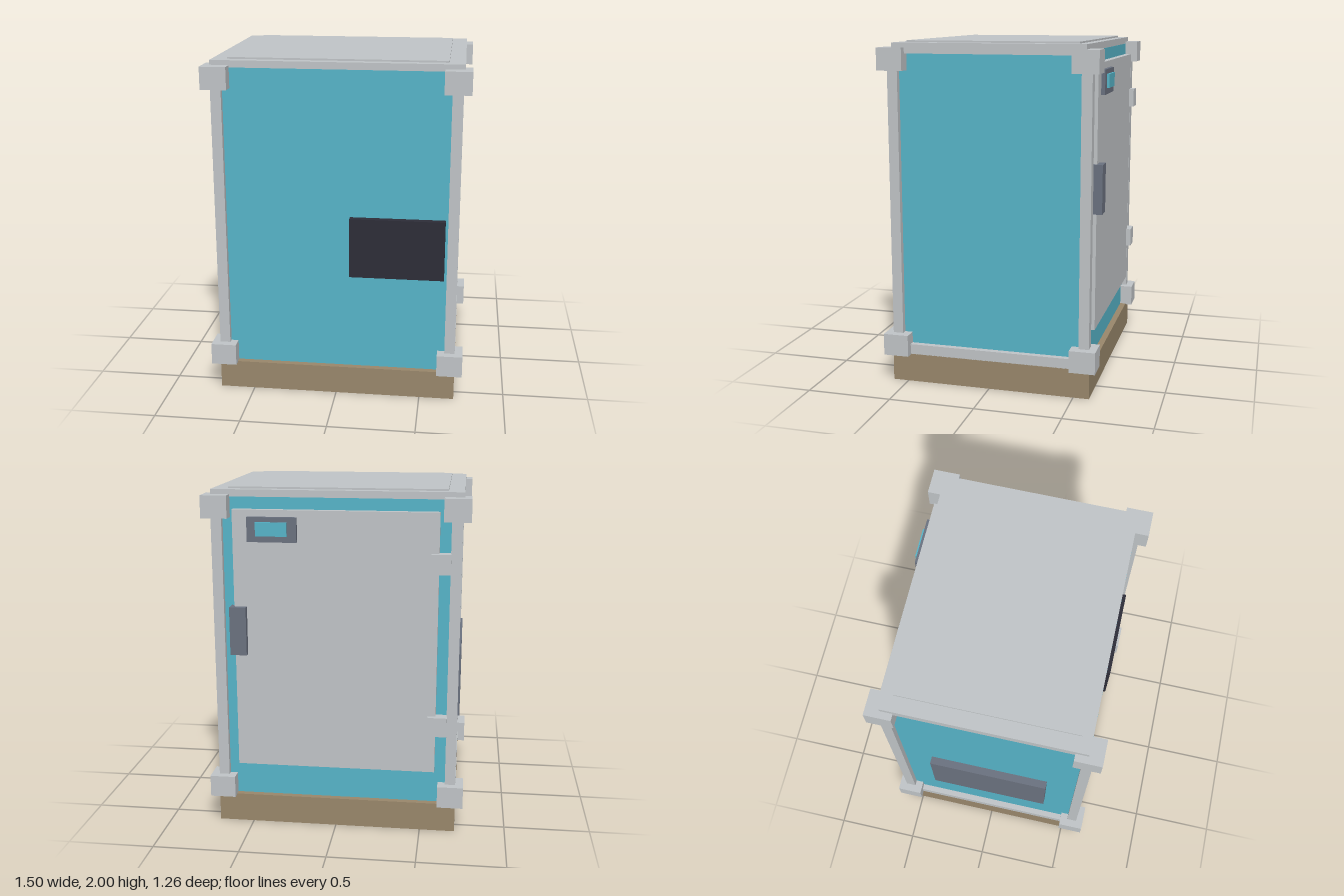
import * as THREE from 'three';

const paint = (name, color) => {
  const m = new THREE.MeshStandardMaterial({ color });
  m.name = name;
  return m;
};

export function createModel() {
  const group = new THREE.Group();
  const grey = paint('light grey', 0xc1c5c8);
  const teal = paint('teal', 0x57b5c9);
  const brown = paint('brown', 0x9a886c);
  const slate = paint('slate', 0x6b7280);
  const black = paint('near black', 0x2d2d38);

  // Box given by its limits on each axis
  const box = (name, material, [x0, x1], [y0, y1], [z0, z1]) => {
    const mesh = new THREE.Mesh(new THREE.BoxGeometry(x1 - x0, y1 - y0, z1 - z0), material);
    mesh.position.set((x0 + x1) / 2, (y0 + y1) / 2, (z0 + z1) / 2);
    mesh.name = name;
    group.add(mesh);
  };
  const side = (s, a, b) => (s > 0 ? [a, b] : [-b, -a]);

  // Base and main body
  box('plinth', brown, [-0.705, 0.705], [0, 0.17], [-0.592, 0.592]);
  box('body', teal, [-0.67, 0.67], [0.17, 1.95], [-0.556, 0.556]);

  // Roof with raised centre
  box('roof', grey, [-0.71, 0.71], [1.94, 1.99], [-0.555, 0.555]);
  box('roofPanel', grey, [-0.62, 0.62], [1.99, 2], [-0.5, 0.5]);

  // Frame: posts, side rails and corner blocks
  for (const sx of [-1, 1]) {
    box('bottomRail', grey, side(sx, 0.645, 0.705), [0.168, 0.228], [-0.53, 0.53]);
    box('topRail', grey, side(sx, 0.645, 0.705), [1.93, 1.96], [-0.53, 0.53]);
    for (const sz of [-1, 1]) {
      box('post', grey, side(sx, 0.643, 0.704), [0.2, 1.935], side(sz, 0.528, 0.588));
      for (const y of [0.165, 1.835]) {
        box('cornerBlock', grey, side(sx, 0.6, 0.75), [y, y + 0.128], side(sz, 0.482, 0.632));
      }
    }
  }

  // Front and side plates
  box('frontPlate', black, [0.08, 0.628], [0.75, 1.103], [0.55, 0.596]);
  box('sidePlate', slate, [-0.715, -0.665], [0.643, 1.07], [-0.357, 0.355]);

  // Back door with hinges, handle and display
  box('door', grey, [-0.58, 0.58], [0.37, 1.883], [-0.596, -0.55]);
  for (const y of [0.6, 1.543]) {
    box('hinge', grey, [-0.645, -0.535], [y, y + 0.114], [-0.626, -0.56]);
  }
  box('handle', slate, [0.507, 0.603], [1.05, 1.33], [-0.632, -0.56]);
  box('displayBezel', slate, [0.212, 0.493], [1.705, 1.845], [-0.618, -0.59]);
  box('displayScreen', teal, [0.265, 0.442], [1.74, 1.818], [-0.632, -0.61]);

  return group;
}
